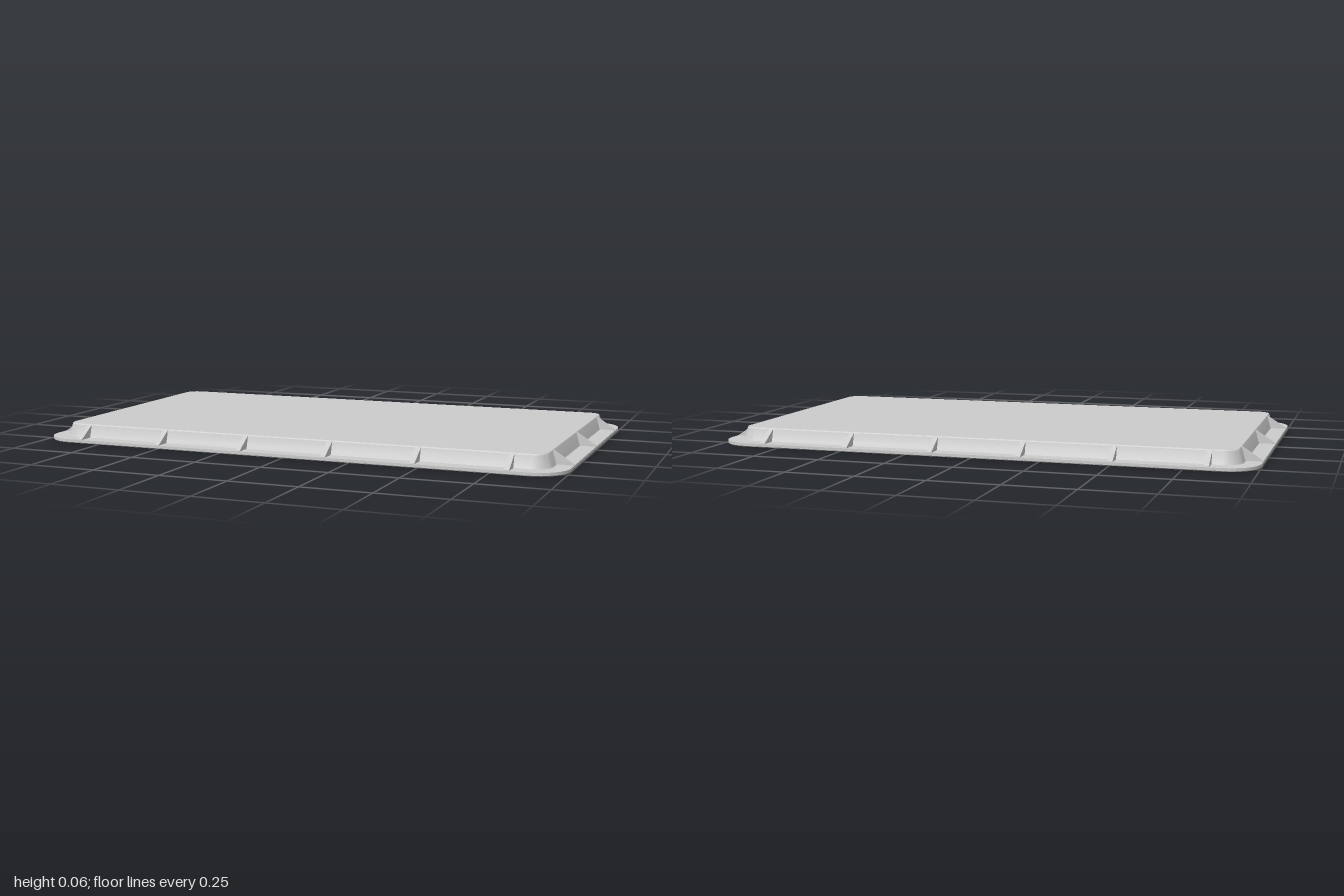
import * as THREE from 'three';
import { toCreasedNormals } from 'three/addons/utils/BufferGeometryUtils.js';

const material = new THREE.MeshStandardMaterial({ color: 0xcccccc });
const ARC = 8;

// Rounded rectangle outline, given half sizes and corner radius
function outline(hx, hz, r) {
  const points = [];
  for (let c = 0; c < 4; c++) {
    const sx = c === 0 || c === 3 ? 1 : -1;
    const sz = c < 2 ? 1 : -1;
    for (let i = 0; i <= ARC; i++) {
      const a = (c + i / ARC) * Math.PI / 2;
      points.push([sx * (hx - r) + r * Math.cos(a), sz * (hz - r) + r * Math.sin(a)]);
    }
  }
  return points;
}

// Closed solid through rounded rectangles [halfX, halfZ, radius, y], bottom to top
function loft(name, rings) {
  const pos = [], index = [];
  const n = 4 * (ARC + 1);
  for (const [hx, hz, r, y] of rings) {
    for (const [x, z] of outline(hx, hz, r)) pos.push(x, y, z);
  }
  for (let k = 0; k < rings.length - 1; k++) {
    for (let i = 0; i < n; i++) {
      const a = k * n + i, b = k * n + (i + 1) % n;
      index.push(a, a + n, b, b, a + n, b + n);
    }
  }
  const bottom = pos.length / 3, top = bottom + 1, last = (rings.length - 1) * n;
  pos.push(0, rings[0][3], 0, 0, rings[rings.length - 1][3], 0);
  for (let i = 0; i < n; i++) {
    const j = (i + 1) % n;
    index.push(bottom, i, j, top, last + j, last + i);
  }
  const geometry = new THREE.BufferGeometry();
  geometry.setAttribute('position', new THREE.Float32BufferAttribute(pos, 3));
  geometry.setIndex(index);
  const mesh = new THREE.Mesh(toCreasedNormals(geometry, 0.4), material);
  mesh.name = name;
  return mesh;
}

// Sloped rib running outward along local +x, from the wall to the rim
const RIB = 0.018;
const ribShape = new THREE.Shape([
  new THREE.Vector2(-0.1, 0.01), new THREE.Vector2(-0.003, 0.01),
  new THREE.Vector2(-0.003, 0.015), new THREE.Vector2(-0.074, 0.0605),
  new THREE.Vector2(-0.1, 0.0605),
]);
const ribGeometry = new THREE.ExtrudeGeometry(ribShape, { depth: RIB, bevelEnabled: false });
ribGeometry.translate(0, 0, -RIB / 2);

function addRib(parent, name, x, z, turn) {
  const rib = new THREE.Mesh(ribGeometry, material);
  rib.name = name;
  rib.position.set(x, 0, z);
  rib.rotation.y = turn;
  parent.add(rib);
}

export function createModel() {
  const model = new THREE.Group();
  model.name = 'ribbedTray';

  // Flat base with a rounded rim
  model.add(loft('basePlate', [
    [0.997, 0.569, 0.117, 0], [1, 0.572, 0.12, 0.003], [1, 0.572, 0.12, 0.013],
  ]));

  // Raised deck with slightly sloping walls
  model.add(loft('raisedDeck', [
    [0.942, 0.516, 0.065, 0.011], [0.937, 0.511, 0.06, 0.02],
    [0.927, 0.5, 0.05, 0.058], [0.924, 0.496, 0.046, 0.062],
  ]));

  // Ribs around the four edges
  const ribs = new THREE.Group();
  ribs.name = 'edgeRibs';
  for (let i = 0; i < 6; i++) {
    const x = -0.83 + i * 0.328;
    addRib(ribs, 'frontRib', x, 0.572, -Math.PI / 2);
    addRib(ribs, 'backRib', x, -0.572, Math.PI / 2);
  }
  for (const z of [-0.4, -0.005, 0.39]) {
    addRib(ribs, 'leftRib', 1, z, 0);
    addRib(ribs, 'rightRib', -1, z, Math.PI);
  }
  model.add(ribs);
  return model;
}
